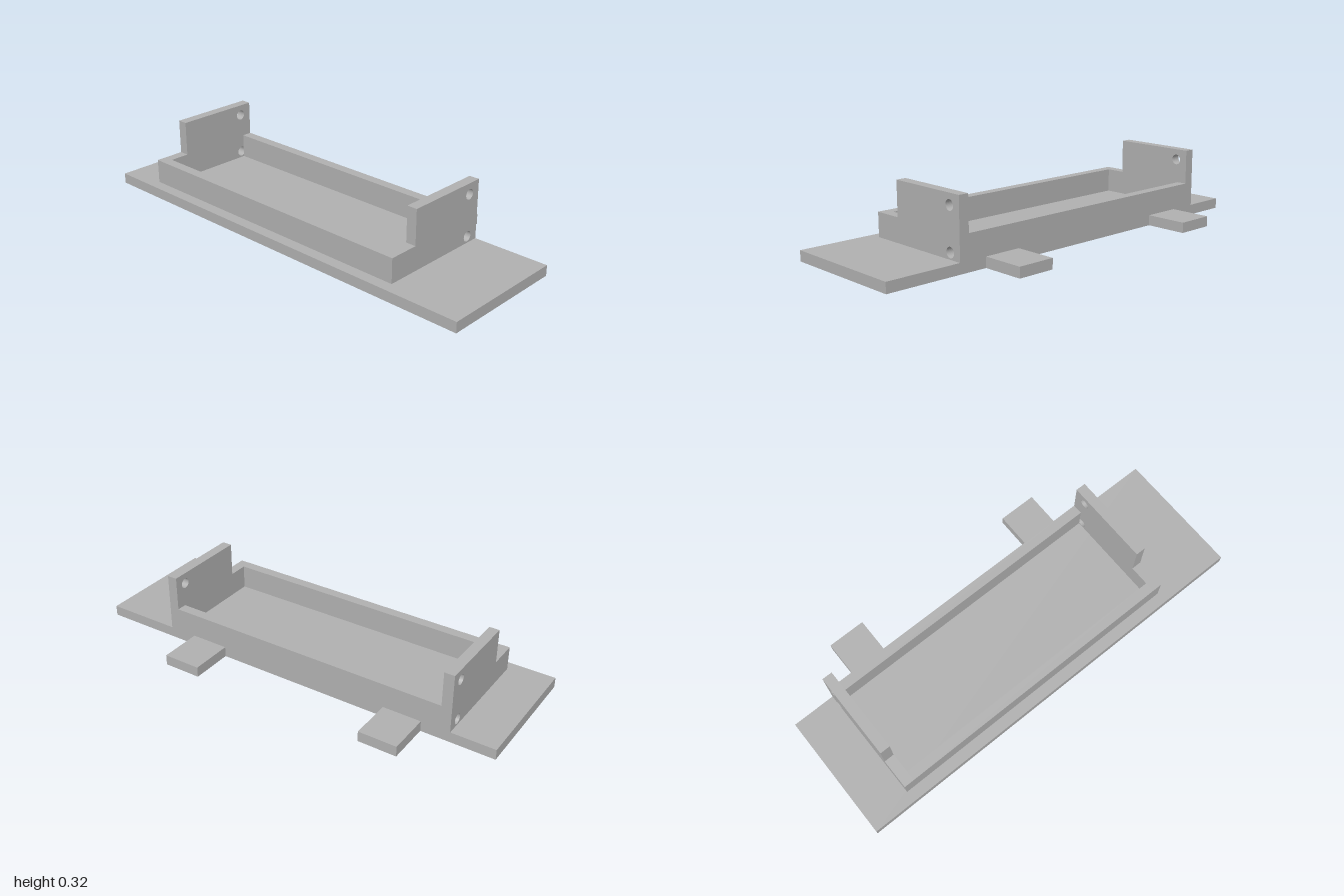
import * as THREE from 'three';

export function createModel() {
  const model = new THREE.Group();
  const grey = new THREE.MeshStandardMaterial({ color: 0xb0b0b0 });
  grey.name = 'plain grey';

  const add = (name, geometry) => {
    const mesh = new THREE.Mesh(geometry, grey);
    mesh.name = name;
    model.add(mesh);
    return mesh;
  };
  // Box given by its limits on each axis
  const box = (name, x0, x1, y0, y1, z0, z1) =>
    add(name, new THREE.BoxGeometry(x1 - x0, y1 - y0, z1 - z0))
      .position.set((x0 + x1) / 2, (y0 + y1) / 2, (z0 + z1) / 2);

  const baseTop = 0.048, rimTop = 0.16, plateTop = 0.32, wall = 0.047;
  const back = -0.199, front = 0.346, left = 0.648, right = -0.797;

  // Base plate with two tabs at the back
  box('basePlate', -1, 1, 0, baseTop, back, 0.398);
  for (const x of [-0.576, 0.426]) box('backTab', x - 0.089, x + 0.089, 0, baseTop, -0.398, back);

  // Low walls of the tray, between the end plates
  box('frontWall', right + wall, left - wall, baseTop, rimTop, front - wall, front);
  box('backWall', right + wall, left - wall, baseTop, rimTop, back, back + wall);

  // Stepped end plates with two bolt holes each, drawn in z and y
  const profile = new THREE.Shape([
    [back, baseTop], [front, baseTop], [front, rimTop],
    [0.206, rimTop], [0.206, plateTop], [back, plateTop],
  ].map(([z, y]) => new THREE.Vector2(z, y)));
  for (const y of [0.078, 0.27]) {
    profile.holes.push(new THREE.Path().absarc(-0.139, y, 0.0235, 0, Math.PI * 2, true));
  }
  const plate = new THREE.ExtrudeGeometry(profile, { depth: wall, bevelEnabled: false, curveSegments: 32 });
  plate.rotateY(-Math.PI / 2);
  add('leftEndPlate', plate).position.x = left;
  add('rightEndPlate', plate).position.x = right + wall;

  return model;
}
